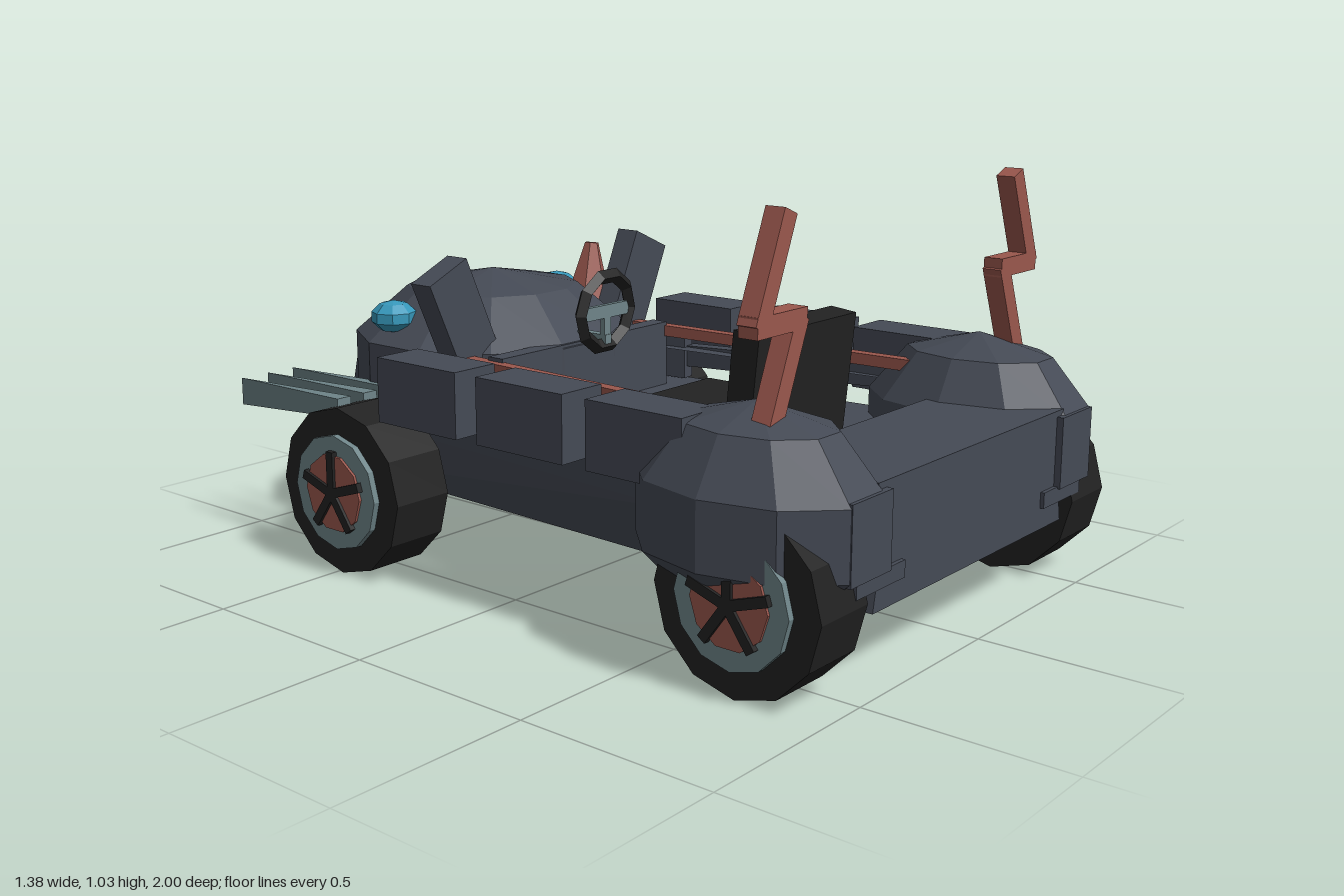
import * as THREE from 'three';

const mat = (name, color) => {
  const m = new THREE.MeshStandardMaterial({ color, flatShading: true });
  m.name = name;
  return m;
};

export function createModel() {
  const root = new THREE.Group();
  root.name = 'openKart';
  const slate = mat('slateBody', 0x454a55);
  const black = mat('blackRubber', 0x222222);
  const red = mat('rustRed', 0x9a574d);
  const steel = mat('paleSteel', 0x6f8589);
  const blue = mat('lampBlue', 0x3798bb);

  const add = (name, geo, m, x = 0, y = 0, z = 0, rx = 0, ry = 0, rz = 0, parent = root) => {
    const mesh = new THREE.Mesh(geo, m);
    mesh.name = name;
    mesh.position.set(x, y, z);
    mesh.rotation.set(rx, ry, rz);
    parent.add(mesh);
    return mesh;
  };
  const box = (w, h, d) => new THREE.BoxGeometry(w, h, d);

  // Full outline from a half outline [x, z] listed tail to nose
  const mirror = (half) => [...half, ...[...half].reverse().map(([x, z]) => [-x, z])];

  // Closed solid from half outlines stacked by height
  const loft = (levels) => {
    const rings = levels.map(([y, half]) => mirror(half).map(([x, z]) => [x, y, z]));
    const n = rings[0].length, idx = [];
    for (let k = 0; k < rings.length - 1; k++) {
      for (let i = 0; i < n; i++) {
        const a = k * n + i, b = k * n + (i + 1) % n;
        idx.push(a, b, b + n, a, b + n, a + n);
      }
    }
    const top = (rings.length - 1) * n;
    for (let i = 1; i < n - 1; i++) idx.push(0, i + 1, i, top, top + i, top + i + 1);
    const g = new THREE.BufferGeometry();
    g.setAttribute('position', new THREE.Float32BufferAttribute(rings.flat(2), 3));
    g.setIndex(idx);
    g.computeVertexNormals();
    return g;
  };

  // Faceted dome turned from a [radius, height] profile
  const dome = (profile, sides, rx, rz) => {
    const g = new THREE.LatheGeometry(profile.map(([r, y]) => new THREE.Vector2(r, y)), sides, Math.PI / sides);
    return g.scale(rx, 1, rz);
  };

  // Blade whose far end narrows to an upright edge and deepens downward
  const blade = (length) => {
    const g = box(0.045, 0.05, length);
    const p = g.attributes.position;
    for (let i = 0; i < p.count; i++) {
      if (p.getZ(i) > 0) continue;
      p.setX(i, 0);
      p.setY(i, p.getY(i) > 0 ? 0.015 : -0.06);
    }
    return g;
  };

  // Chassis tub with flared sides
  add('chassis', loft([
    [0.18, [[0.43, 0.98], [0.43, 0.5], [0.39, -0.45], [0.37, -0.66], [0.16, -0.89]]],
    [0.23, [[0.42, 0.98], [0.45, 0.5], [0.41, -0.45], [0.37, -0.68], [0.16, -0.89]]],
    [0.33, [[0.42, 0.98], [0.49, 0.5], [0.42, -0.45], [0.36, -0.68], [0.16, -0.88]]],
    [0.37, [[0.42, 0.98], [0.49, 0.5], [0.42, -0.45], [0.34, -0.68], [0.16, -0.86]]],
  ]), slate);

  // Cockpit rim with flat tail deck
  const points = (half) => mirror(half).map(([x, z]) => new THREE.Vector2(x, z));
  const rim = new THREE.Shape(points([[0.42, 0.98], [0.49, 0.5], [0.42, -0.45], [0.34, -0.68]]));
  rim.holes.push(new THREE.Path(points([[0.40, 0.67], [0.43, 0.5], [0.36, -0.24]])));
  add('cockpitRim', new THREE.ExtrudeGeometry(rim, { depth: 0.1, bevelEnabled: false }), slate, 0, 0.465, 0, Math.PI / 2);

  // Rounded hood and its blunt snout
  add('hood', dome([[0, 0.29], [0.8, 0.3], [1, 0.4], [1, 0.54], [0.62, 0.665], [0, 0.71]], 12, 0.39, 0.375),
    slate, 0, 0, -0.56);
  add('snout', loft([
    [0.3, [[0.19, -0.7], [0.155, -1]]],
    [0.42, [[0.19, -0.7], [0.15, -0.975]]],
  ]), slate);
  add('dashboard', box(0.66, 0.18, 0.05), slate, 0, 0.46, -0.225);

  // Seat
  add('seatCushion', box(0.41, 0.08, 0.42), black, 0, 0.405, 0.26);
  const back = new THREE.Group();
  back.name = 'seatBack';
  back.position.set(0, 0.53, 0.46);
  back.rotation.x = 0.1;
  root.add(back);
  add('seatBackFrame', box(0.41, 0.31, 0.075), black, 0, 0, 0, 0, 0, 0, back);
  add('seatBackPanel', box(0.33, 0.19, 0.008), slate, 0, 0.03, -0.039, 0, 0, 0, back);

  // Steering wheel on its column
  add('steeringWheel', new THREE.TorusGeometry(0.098, 0.02, 4, 10), black, 0, 0.635, -0.14, 0.06);
  add('steeringSpoke', box(0.18, 0.035, 0.015), steel, 0, 0.635, -0.14);
  add('steeringStem', box(0.025, 0.09, 0.015), steel, 0, 0.59, -0.14);
  add('steeringColumn', box(0.025, 0.025, 0.1), steel, 0, 0.56, -0.18);

  // Wheel: tyre, steel rim, red hub and five dark spokes facing outward
  const wheel = (name, s, z) => {
    const g = new THREE.Group();
    g.name = name;
    g.position.set(s * 0.555, 0.218, z);
    g.rotation.y = s > 0 ? 0 : Math.PI;
    root.add(g);
    const disc = (part, r, w, m, x, sides) =>
      add(part, new THREE.CylinderGeometry(r, r, w, sides), m, x, 0, 0, 0, 0, -Math.PI / 2, g);
    disc('tyre', 0.218, 0.17, black, 0, 12);
    disc('rim', 0.15, 0.03, steel, 0.087, 12);
    disc('hub', 0.102, 0.018, red, 0.1, 10);
    for (let i = 0; i < 5; i++) {
      const a = i * Math.PI * 2 / 5;
      add('spoke', box(0.018, 0.115, 0.024), black, 0.108,
        Math.cos(a) * 0.052, Math.sin(a) * 0.052, a, 0, 0, g);
    }
  };

  const fenderProfile = [[0, 0.12], [0.5, 0.14], [0.7, 0.2], [1, 0.28], [1, 0.44], [0.65, 0.565], [0, 0.615]];

  for (const s of [1, -1]) {
    const side = s > 0 ? 'left' : 'right';
    wheel(side + 'NoseWheel', s, -0.482);
    wheel(side + 'TailWheel', s, 0.775);

    // Domed fender over the tail wheel, with a square block on its end
    add(side + 'Fender', dome(fenderProfile, 10, 0.212, 0.3), slate, s * 0.48, 0, 0.71);
    add(side + 'FenderBlock', box(0.155, 0.18, 0.2), slate, s * 0.466, 0.36, 0.897);
    add(side + 'TailStep', box(0.19, 0.04, 0.1), slate, s * 0.415, 0.255, 0.94);

    // Side armour blocks, low wall and rail
    for (const z of [0.47, 0.125, -0.22]) {
      add(side + 'ArmourBlock', box(0.135, 0.165, 0.275), slate, s * 0.5425, 0.497, z);
    }
    add(side + 'LowWall', box(0.04, 0.06, 0.95), slate, s * 0.447, 0.45, 0.1, -0.04, s * 0.05);
    add(side + 'Rail', box(0.032, 0.03, 1.05), red, s * 0.352, 0.525, 0.09, 0, s * 0.05);
    add(side + 'CheekPanel', box(0.04, 0.13, 0.36), slate, s * 0.4, 0.44, -0.37, 0, s * 0.1);

    // Leaning ear plate, horn and lamp on the hood
    add(side + 'EarPlate', box(0.14, 0.3, 0.07), slate, s * 0.34, 0.633, -0.35, 0, 0, -s * 0.42);
    add(side + 'Horn', new THREE.CylinderGeometry(0.02, 0.066, 0.16, 6), red, s * 0.275, 0.68, -0.44, 0, 0, -s * 0.1);
    const lamp = add(side + 'Lamp', new THREE.SphereGeometry(0.063, 8, 5), blue, s * 0.322, 0.61, -0.615);
    lamp.scale.y = 0.7;

    // Three whisker blades beside the hood
    for (const x of [0.375, 0.462, 0.55]) {
      add(side + 'Whisker', blade(0.43), steel, s * x, 0.41, -0.775);
    }

    // Zigzag aerial from three bars
    const pts = [[0.535, 0.56], [0.44, 0.793], [0.582, 0.793], [0.49, 1.02]];
    for (let i = 0; i < 3; i++) {
      const [x0, y0] = pts[i], [x1, y1] = pts[i + 1];
      const len = Math.hypot(x1 - x0, y1 - y0) + (i === 1 ? 0.035 : 0.01);
      add(side + 'AerialBar', box(len, 0.047, 0.05), red, s * (x0 + x1) / 2, (y0 + y1) / 2, 0.77,
        0, 0, s * Math.atan2(y1 - y0, x1 - x0));
    }
  }
  return root;
}
